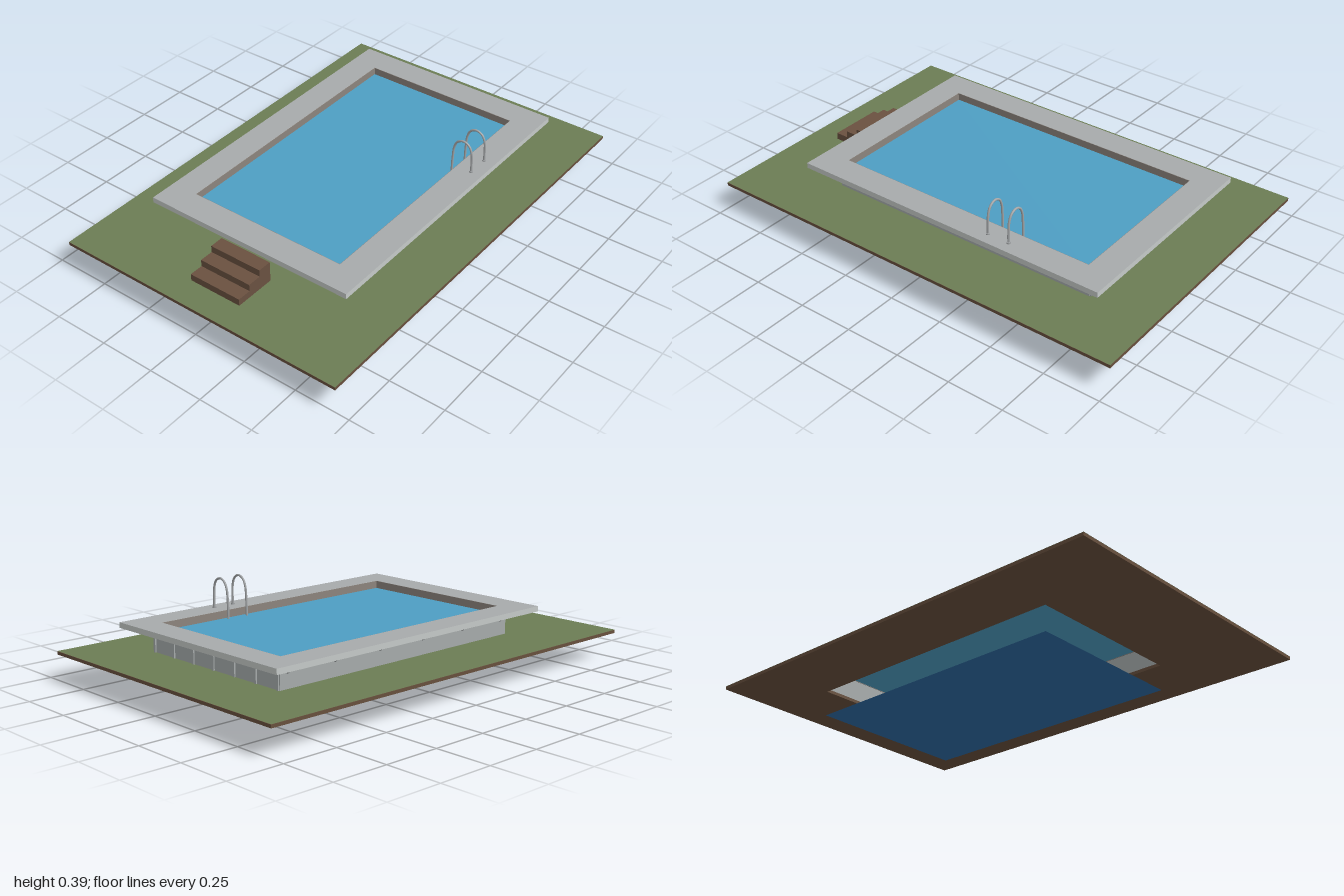
import * as THREE from 'three';

const mat = (name, color, side = THREE.FrontSide) => {
  const m = new THREE.MeshStandardMaterial({ color, side });
  m.name = name;
  return m;
};

export function createModel() {
  const group = new THREE.Group();
  const grass = mat('grass', 0x6b7c54, THREE.DoubleSide);
  const soil = mat('soil', 0x68503d);
  const wood = mat('wood', 0x6a5140);
  const stone = mat('deck stone', 0xa7aaab);
  const trim = mat('deck trim', 0xc5cac8);
  const panel = mat('wall panel', 0xa6abab);
  const lining = mat('pool lining', 0x8c847d, THREE.DoubleSide);
  const water = mat('water', 0x4e9ec3, THREE.DoubleSide);
  const floorBlue = mat('floor blue', 0x2d6aa4, THREE.DoubleSide);
  const steel = mat('steel', 0xa3a6a8);

  const poolZ = -0.0625, poolW = 0.75, poolL = 1.25;

  const add = (name, geo, material, x = 0, y = 0, z = 0) => {
    const m = new THREE.Mesh(geo, material);
    m.name = name;
    m.position.set(x, y, z);
    group.add(m);
    return m;
  };
  const box = (name, w, h, d, material, x, y, z) =>
    add(name, new THREE.BoxGeometry(w, h, d), material, x, y, z);

  // Rectangular frame outline around the pool opening (shape y becomes -z)
  const rect = (T, w, l, zc) => {
    const s = new T();
    s.moveTo(-w / 2, -zc - l / 2);
    s.lineTo(w / 2, -zc - l / 2);
    s.lineTo(w / 2, -zc + l / 2);
    s.lineTo(-w / 2, -zc + l / 2);
    s.closePath();
    return s;
  };
  const frameShape = (w, l, zc, inset = 0) => {
    const s = rect(THREE.Shape, w, l, zc);
    s.holes.push(rect(THREE.Path, poolW - inset, poolL - inset, poolZ));
    return s;
  };
  const frame = (name, shape, y0, y1, material) => add(name,
    new THREE.ExtrudeGeometry(shape, { depth: y1 - y0, bevelEnabled: false }).rotateX(-Math.PI / 2),
    material, 0, y0, 0);

  // Ground slab with lawn on top
  frame('ground', frameShape(1.375, 2, 0), 0.112, 0.126, soil);
  add('lawn', new THREE.ShapeGeometry(frameShape(1.375, 2, 0)).rotateX(-Math.PI / 2), grass, 0, 0.127, 0);

  // Pool walls, deck, inner lining
  frame('poolWalls', frameShape(0.8, 1.3, poolZ), 0.126, 0.228, panel);
  frame('deck', frameShape(1, 1.5, poolZ), 0.228, 0.252, [stone, trim]);
  frame('innerLining', rect(THREE.Shape, poolW - 0.002, poolL - 0.002, poolZ), 0.216, 0.2515,
    [mat('unused', 0), lining]).geometry = liningGeometry();

  function liningGeometry() {
    return new THREE.ExtrudeGeometry(frameShape(poolW, poolL, poolZ, 0.004),
      { depth: 0.0355, bevelEnabled: false }).rotateX(-Math.PI / 2);
  }
  group.getObjectByName('innerLining').material = lining;

  // Water surface and sunken floor
  const sheet = () => new THREE.PlaneGeometry(poolW, poolL).rotateX(-Math.PI / 2);
  add('water', sheet(), water, 0, 0.218, poolZ);
  add('poolFloor', sheet(), floorBlue, 0, 0, poolZ);

  // Ribs on the two short walls
  for (const s of [-1, 1])
    for (let i = -3; i <= 3; i++)
      box('wallRib', 0.012, 0.102, 0.008, panel, i * 0.13, 0.177, poolZ + s * 0.652);

  // Diagonal braces from the walls to the deck
  const brace = (x0, z0, x1, z1) => {
    const curve = new THREE.LineCurve3(new THREE.Vector3(x0, 0.19, z0), new THREE.Vector3(x1, 0.228, z1));
    add('deckBrace', new THREE.TubeGeometry(curve, 1, 0.004, 8), steel);
  };
  for (const s of [-1, 1]) {
    for (let i = 0; i < 6; i++) {
      const z = 0.55 - i * 0.245;
      brace(s * 0.398, z, s * 0.455, z);
    }
    for (const x of [-0.36, -0.12, 0.12, 0.36])
      brace(x, poolZ + s * 0.648, x, poolZ + s * 0.705);
  }

  // Three entry steps
  [0.22, 0.189, 0.158].forEach((top, i) =>
    box('entryStep', 0.25, top - 0.126, 0.0625, wood, 0, (top + 0.126) / 2, 0.71875 + i * 0.0625));

  // Ladder: two arched rails joined by treads
  const railPoints = [[0.447, 0.25], [0.447, 0.3], [0.444, 0.345], [0.43, 0.376], [0.402, 0.389],
    [0.373, 0.376], [0.358, 0.345], [0.353, 0.3], [0.35, 0.2], [0.348, 0.1], [0.35, 0.05], [0.356, 0.034], [0.367, 0.029]];
  for (const z of [-0.255, -0.357]) {
    const curve = new THREE.CatmullRomCurve3(railPoints.map(([x, y]) => new THREE.Vector3(x, y, z)));
    add('ladderRail', new THREE.TubeGeometry(curve, 60, 0.005, 10), steel);
    add('railFoot', new THREE.CylinderGeometry(0.009, 0.009, 0.006, 14), steel, 0.447, 0.255, z);
  }
  for (const y of [0.086, 0.155])
    box('ladderTread', 0.024, 0.006, 0.102, steel, 0.35, y, -0.306);

  return group;
}
